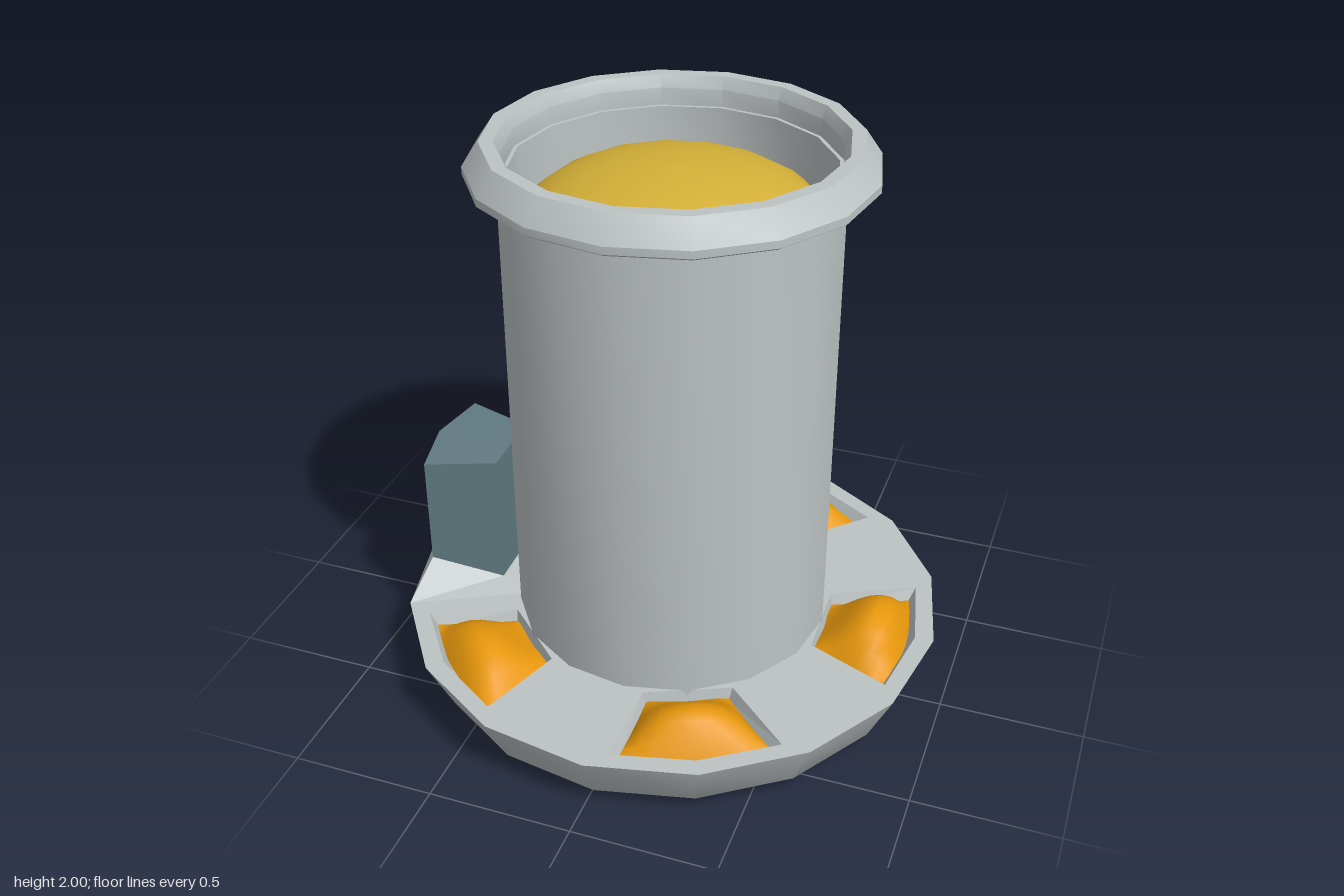
import * as THREE from 'three';
import { toCreasedNormals } from 'three/addons/utils/BufferGeometryUtils.js';

const SIDES = 16, STEP = Math.PI / 8, TURN = 0.031;
const deg = Math.PI / 180;

// Point at an angle in degrees (from +x towards -z), radius and height.
const polar = (a, r, y) => [r * Math.cos(a * deg), y, -r * Math.sin(a * deg)];

// Skins rows of equally many points.
function loft(rows, closed) {
  const n = rows[0].length, index = [];
  const cols = closed ? n : n - 1;
  for (let j = 0; j < rows.length - 1; j++) {
    for (let i = 0; i < cols; i++) {
      const k = (i + 1) % n;
      const a = j * n + i, b = j * n + k, c = a + n, d = b + n;
      index.push(a, b, d, a, d, c);
    }
  }
  const g = new THREE.BufferGeometry();
  g.setAttribute('position', new THREE.Float32BufferAttribute(rows.flat(2), 3));
  g.setIndex(index);
  g.computeVertexNormals();
  return g;
}

function flat(g) {
  const f = g.toNonIndexed();
  f.computeVertexNormals();
  return f;
}

function lathe(points) {
  const g = new THREE.LatheGeometry(points.map(([r, y]) => new THREE.Vector2(r, y)), SIDES, TURN);
  return toCreasedNormals(g, 0.56);
}

export function createModel() {
  const material = (name, color) => {
    const m = new THREE.MeshStandardMaterial({ color, side: THREE.DoubleSide });
    m.name = name;
    return m;
  };
  const grey = material('light grey', 0xbdc3c3);
  const slate = material('slate', 0x607a80);
  const orange = material('orange', 0xe8980c);
  const gold = material('gold', 0xd4af37);

  const model = new THREE.Group();
  const add = (name, geometry, mat, parent = model) => {
    const m = new THREE.Mesh(geometry, mat);
    m.name = name;
    parent.add(m);
    return m;
  };

  // Rounded tray body
  add('trayBody', lathe([[0, 0], [0.72, 0], [0.79, 0.015], [0.86, 0.06], [0.95, 0.25]]), grey);

  // Tray deck with five pocket openings; the sixth bay carries the block
  const bays = [0, 3, 6, 10, 13].map(k => TURN + k * STEP);
  const opening = [[-18.5, 0.88], [0, 0.885], [18.5, 0.88], [15.5, 0.57], [-15.5, 0.57]];
  const ngon = r => Array.from({ length: SIDES }, (_, i) =>
    new THREE.Vector2(r * Math.cos(TURN + i * STEP), r * Math.sin(TURN + i * STEP)));
  const deck = new THREE.Shape(ngon(0.95));
  deck.holes.push(new THREE.Path(ngon(0.53)));
  for (const bay of bays) {
    deck.holes.push(new THREE.Path(opening.map(([a, r]) =>
      new THREE.Vector2(r * Math.cos(bay + a * deg), r * Math.sin(bay + a * deg)))));
  }
  add('trayDeck', new THREE.ShapeGeometry(deck).rotateX(-Math.PI / 2).translate(0, 0.25, 0), grey);

  // Pocket walls and the heaped feed in each pocket
  const floor = [[-16.8, 0.85], [0, 0.857], [16.8, 0.85], [14, 0.575], [-14, 0.575]];
  const walls = flat(loft([
    opening.map(([a, r]) => polar(a, r, 0.25)),
    floor.map(([a, r]) => polar(a, r, 0.2)),
  ], true));
  const peaks = [0.345, 0.315, 0.31, 0.31, 0.335];
  bays.forEach((bay, n) => {
    const pocket = new THREE.Group();
    pocket.name = 'feedPocket';
    pocket.rotation.y = bay;
    model.add(pocket);
    add('pocketWalls', walls, grey, pocket);
    const rows = [];
    for (let j = 0; j <= 8; j++) {
      const s = j / 8, row = [];
      const across = Math.max(0, Math.sin(Math.PI * Math.pow(s, 1.4))) ** 0.8;
      for (let i = 0; i <= 8; i++) {
        const u = i / 4 - 1;
        const rise = (peaks[n] - 0.21) * across * (1 - u * u) ** 0.7;
        row.push(polar(u * (14 + 3 * s), 0.56 + 0.295 * s, 0.21 + rise));
      }
      rows.push(row);
    }
    add('feed', loft(rows, false), orange, pocket);
  });

  // Raised seat and upright block in the remaining bay
  const stand = new THREE.Group();
  stand.name = 'blockStand';
  stand.rotation.y = TURN + Math.PI;
  model.add(stand);
  const seatBase = [[-22.5, 0.95], [0, 0.95], [22.5, 0.95], [20, 0.55], [-20, 0.55]];
  const outline = [[-14.5, 0.875], [0, 0.89], [14.5, 0.875], [12.5, 0.625], [-12.5, 0.625]];
  const seatTop = outline.map(([a, r]) => polar(a, r, r > 0.7 ? 0.36 : 0.27));
  add('blockSeat', flat(loft([seatBase.map(([a, r]) => polar(a, r, 0.25)), seatTop], true)), grey, stand);
  add('block', flat(loft([
    seatTop,
    outline.map(([a, r]) => polar(a, r, 0.76)),
    outline.map(() => [0.76, 0.762, 0]),
  ], true)), slate, stand);

  // Hollow tube
  add('tube', lathe([[0.553, 0.2], [0.553, 1.9], [0.522, 1.9], [0.522, 1.6]]), grey);

  // Flared top rim
  add('rim', lathe([
    [0.545, 1.885], [0.64, 1.885], [0.655, 1.895], [0.655, 1.92], [0.6, 2],
    [0.555, 2], [0.535, 1.96], [0.535, 1.9],
  ]), grey);

  // Domed fill inside the tube
  const dome = [];
  for (let i = 0; i <= 8; i++) {
    const t = i / 8 * Math.PI / 2;
    dome.push(new THREE.Vector2(0.518 * Math.cos(t), 1.67 + 0.24 * Math.sin(t)));
  }
  add('fillDome', new THREE.LatheGeometry(dome, SIDES, TURN), gold);

  return model;
}
